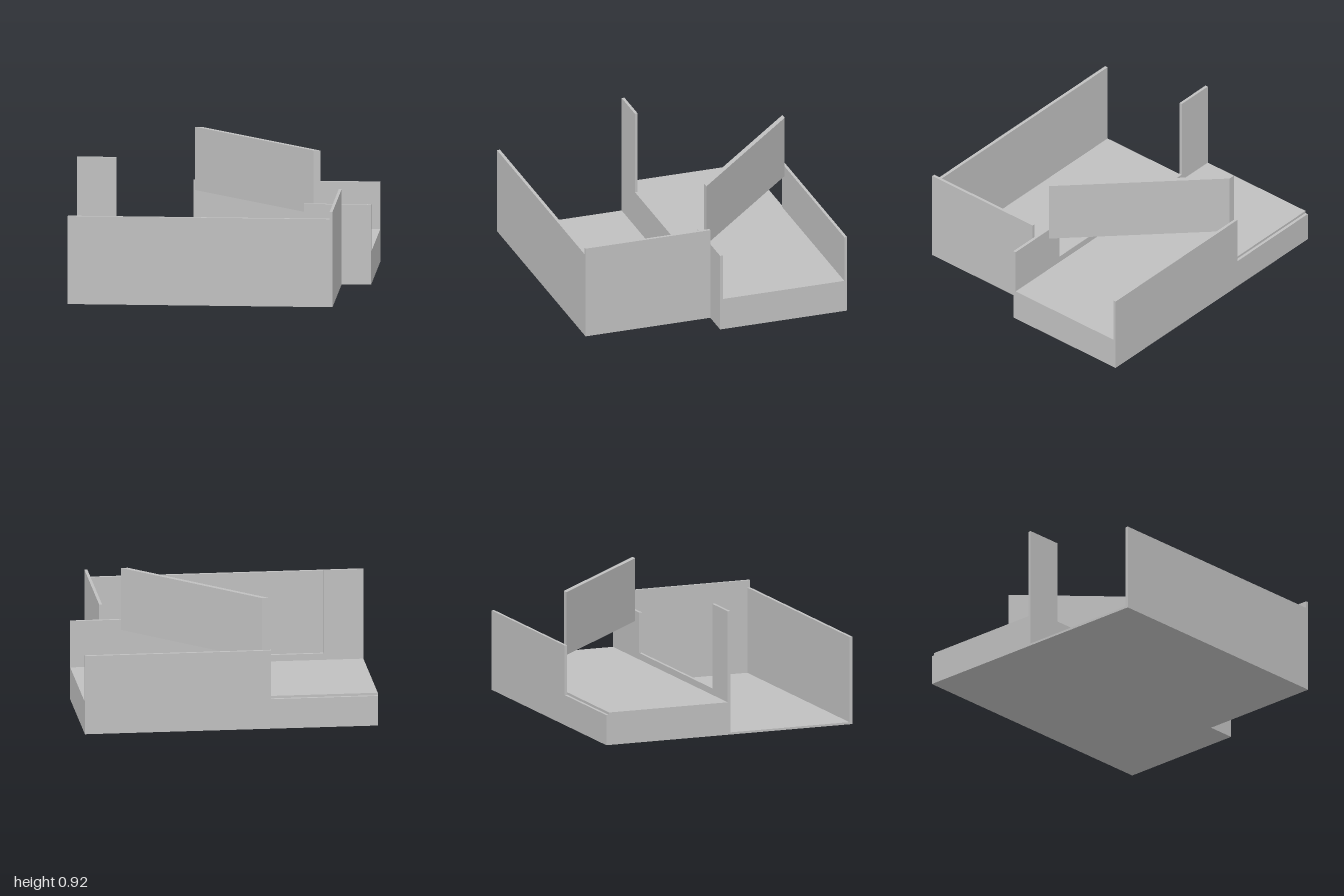
import * as THREE from 'three';

export function createModel() {
  const model = new THREE.Group();
  model.name = 'splitLevelRoom';
  const grey = new THREE.MeshStandardMaterial({ color: 0xc0c0c0 });
  grey.name = 'plain grey';

  const add = (name, geometry) => {
    const mesh = new THREE.Mesh(geometry, grey);
    mesh.name = name;
    model.add(mesh);
    return mesh;
  };

  // Box given by its two extreme corners
  const block = (name, x0, x1, y0, y1, z0, z1) =>
    add(name, new THREE.BoxGeometry(x1 - x0, y1 - y0, z1 - z0))
      .position.set((x0 + x1) / 2, (y0 + y1) / 2, (z0 + z1) / 2);

  const extrude = (points, depth) => new THREE.ExtrudeGeometry(
    new THREE.Shape(points.map(([x, y]) => new THREE.Vector2(x, y))),
    { depth, bevelEnabled: false });

  // Wall with a stepped outline in x and y
  const wall = (name, outline, z0, z1) =>
    add(name, extrude(outline, z1 - z0)).position.z = z0;

  // Floors: low room in front, raised platform behind
  block('frontFloor', -1, 0.78, 0, 0.015, 0.008, 0.883);
  block('raisedPlatform', -1, 1, 0, 0.225, -0.885, -0.012);

  // Walls of the low room
  block('frontWall', -1, 0.78, 0, 0.605, 0.883, 0.905);
  block('rightWall', 0.78, 0.8, 0, 0.655, 0.008, 0.905);

  // Wall between the levels, tall at one end and cut low in the middle
  wall('dividingWall', [
    [-1, 0], [1, 0], [1, 0.55], [0.545, 0.55],
    [0.545, 0.27], [-0.73, 0.27], [-0.73, 0.855], [-1, 0.855],
  ], -0.012, 0.008);

  // Rear wall, stepping down beside the platform
  wall('backWall', [
    [-1, 0], [1, 0], [1, 0.55], [-0.27, 0.55], [-0.27, 0.208], [-1, 0.208],
  ], -0.905, -0.885);

  // Raised diagonal panel: plan outline in x and -z, extruded upwards
  const panel = add('diagonalPanel', extrude([
    [0.607, 0.015], [0.655, 0.015], [-0.21, 0.885], [-0.257, 0.885],
  ], 0.435));
  panel.rotation.x = -Math.PI / 2;
  panel.position.y = 0.48;

  return model;
}
